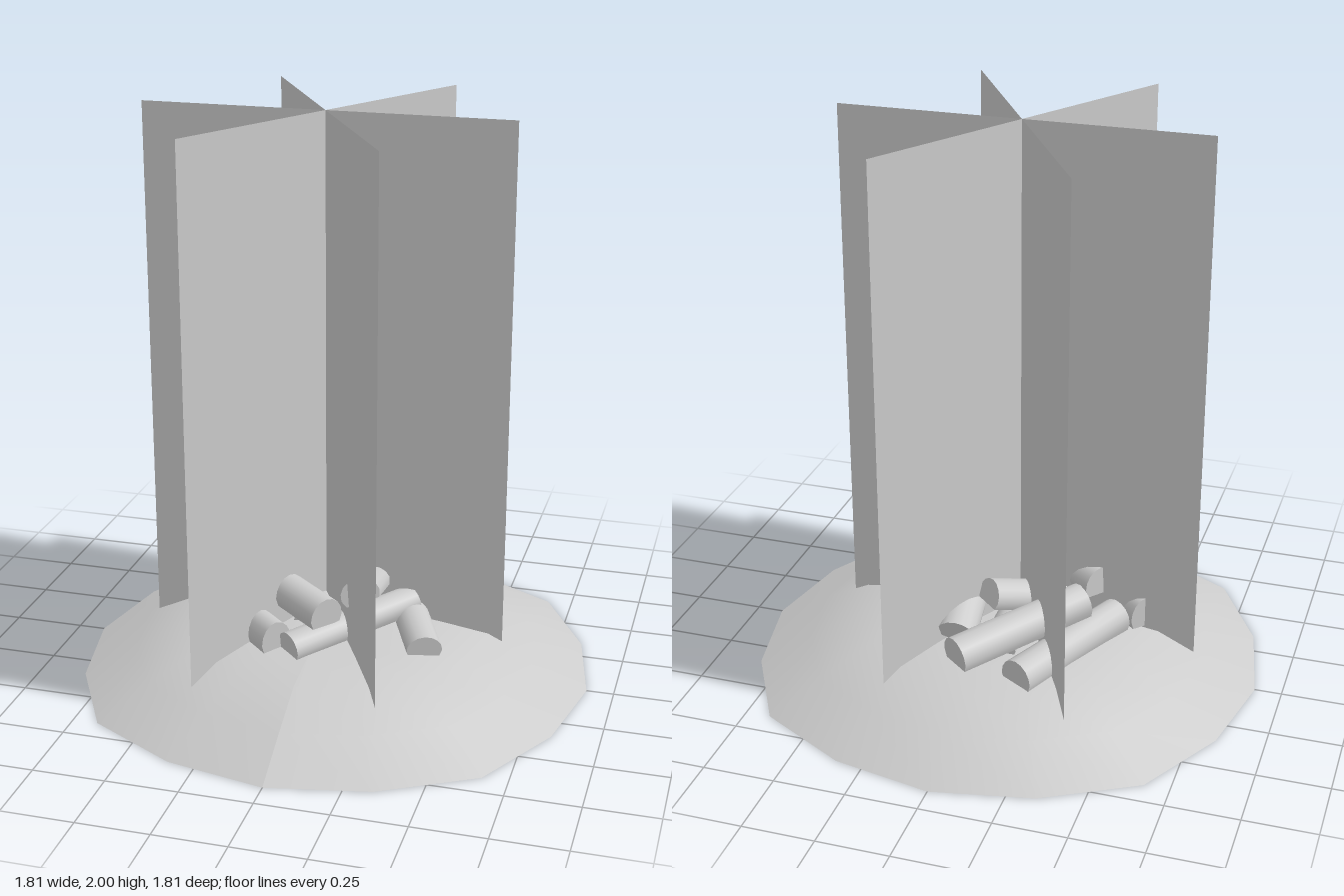
import * as THREE from 'three';
import { toCreasedNormals } from 'three/addons/utils/BufferGeometryUtils.js';

const grey = new THREE.MeshStandardMaterial({ color: 0xcccccc });
const greyDouble = new THREE.MeshStandardMaterial({ color: 0xcccccc, side: THREE.DoubleSide });

// Split log: a round-topped, flat-bottomed bar whose base runs from a to b.
function makeLog(a, b, width, height, roll = 0) {
  const w = width / 2, wall = height * 0.3;
  const shape = new THREE.Shape();
  shape.moveTo(-w * 0.85, 0);
  shape.lineTo(w * 0.85, 0);
  for (let i = 0; i <= 8; i++) {
    const t = (i / 8) * Math.PI;
    shape.lineTo(Math.cos(t) * w, wall + Math.sin(t) * (height - wall));
  }
  const start = new THREE.Vector3(...a);
  const dir = new THREE.Vector3(...b).sub(start);
  const length = dir.length();
  const raw = new THREE.ExtrudeGeometry(shape, { depth: length, bevelEnabled: false });
  raw.translate(0, -height / 2, 0).rotateZ(roll).translate(0, height / 2, 0);
  const z = dir.normalize();
  const x = new THREE.Vector3(0, 1, 0).cross(z).normalize();
  const y = z.clone().cross(x);
  raw.applyMatrix4(new THREE.Matrix4().makeBasis(x, y, z).setPosition(start));
  return new THREE.Mesh(toCreasedNormals(raw, 0.7), grey);
}

export function createModel() {
  const model = new THREE.Group();
  model.name = 'campfire';

  // Open ash mound with a slightly uneven rim
  const profile = [[0.905, 0], [0.72, 0.095], [0.55, 0.175], [0.38, 0.2], [0.19, 0.22], [0, 0.225]];
  const moundGeometry = new THREE.LatheGeometry(profile.map(p => new THREE.Vector2(...p)), 16);
  const pos = moundGeometry.attributes.position;
  for (let i = 0; i < pos.count; i++) {
    const angle = Math.atan2(pos.getZ(i), pos.getX(i));
    const swell = 1 + 0.035 * Math.sin(2 * angle) ** 2;
    const keep = Math.abs(Math.cos(4 * angle)) > 0.5 && Math.abs(Math.sin(2 * angle)) > 0.9;
    const s = keep ? swell : 1;
    pos.setX(i, pos.getX(i) * s);
    pos.setZ(i, pos.getZ(i) * s);
  }
  moundGeometry.computeVertexNormals();
  const mound = new THREE.Mesh(moundGeometry, greyDouble);
  mound.name = 'ashMound';
  model.add(mound);

  // Logs: base start, base end, width, height, roll
  const logs = new THREE.Group();
  logs.name = 'logs';
  [
    [[0.03, 0.245, -0.52], [-0.30, 0.29, -0.12], 0.135, 0.1],
    [[-0.17, 0.17, -0.48], [-0.40, 0.19, -0.02], 0.13, 0.1],
    [[0.02, 0.31, -0.21], [-0.22, 0.2, 0.05], 0.13, 0.09],
    [[-0.34, 0.3, -0.01], [0.04, 0.28, 0.29], 0.13, 0.1],
    [[-0.50, 0.19, 0], [-0.12, 0.19, 0.35], 0.115, 0.11],
    [[0.09, 0.205, -0.315], [0.145, 0.365, 0.26], 0.14, 0.085, 0.4],
    [[0.18, 0.215, -0.2], [0.375, 0.185, 0.245], 0.125, 0.075],
    [[0.27, 0.235, -0.02], [-0.07, 0.195, 0.37], 0.12, 0.08],
    [[-0.06, 0.19, -0.34], [-0.05, 0.19, 0.16], 0.13, 0.08],
  ].forEach((spec, i) => {
    const log = makeLog(...spec);
    log.name = 'log' + (i + 1);
    logs.add(log);
  });
  model.add(logs);

  // Three upright flame sheets crossing on one axis
  const flames = new THREE.Group();
  flames.name = 'flameSheets';
  const bottom = 0.11, top = 2;
  for (let i = 0; i < 3; i++) {
    const sheet = new THREE.Mesh(new THREE.PlaneGeometry(1.28, top - bottom), greyDouble);
    sheet.position.y = (top + bottom) / 2;
    sheet.rotation.y = (i * Math.PI) / 3;
    sheet.name = 'flameSheet' + (i + 1);
    flames.add(sheet);
  }
  flames.position.x = -0.04;
  model.add(flames);

  return model;
}
